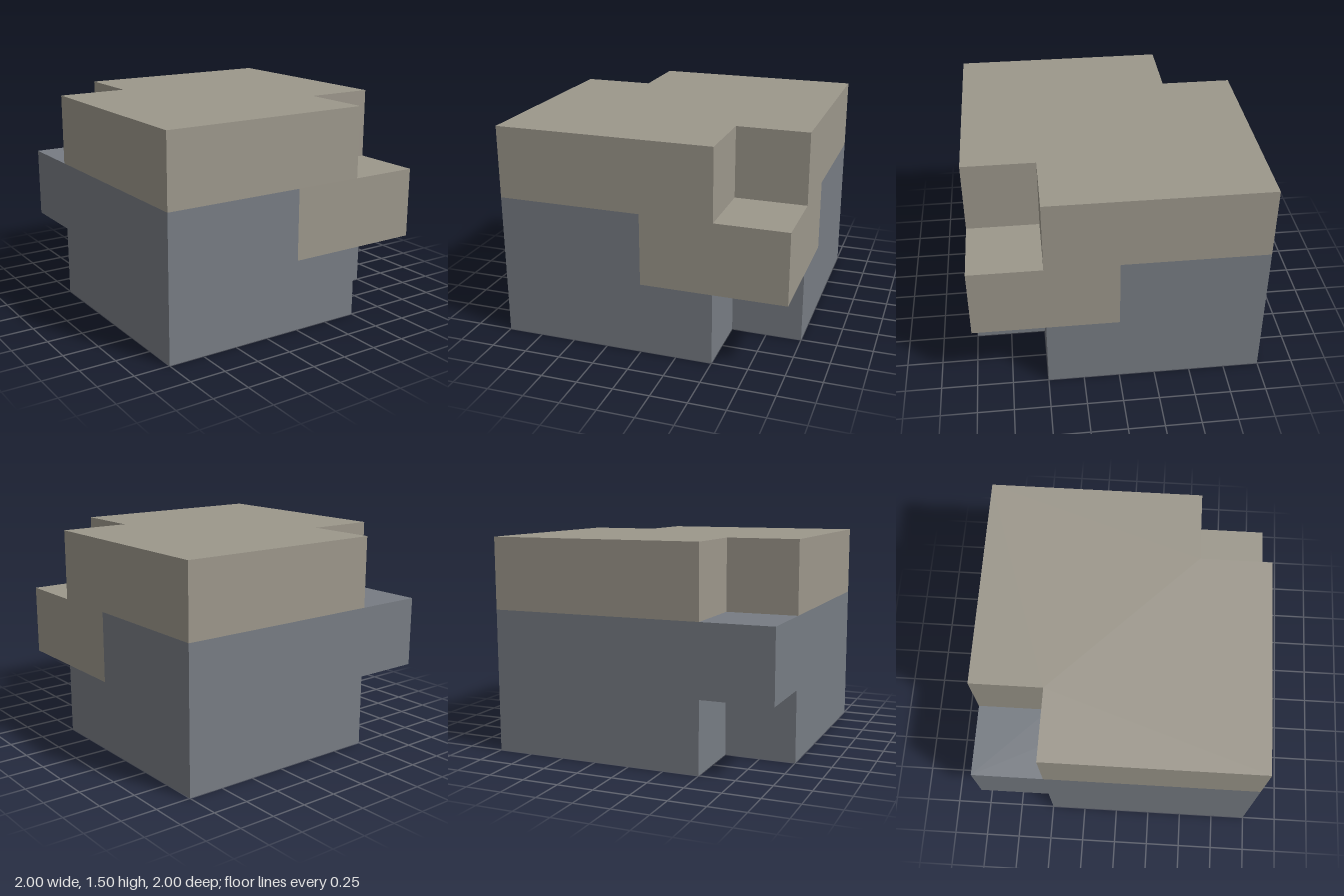
import * as THREE from 'three';

const STEP = 0.5;

// Upright prism, one step high, from a floor plan given as [x, z] corners
function layer(name, plan, level, material) {
  const shape = new THREE.Shape(plan.map(([x, z]) => new THREE.Vector2(x, -z)));
  const geometry = new THREE.ExtrudeGeometry(shape, { depth: STEP, bevelEnabled: false });
  geometry.rotateX(-Math.PI / 2);
  const mesh = new THREE.Mesh(geometry, material);
  mesh.name = name;
  mesh.position.y = level * STEP;
  return mesh;
}

export function createModel() {
  const slate = new THREE.MeshStandardMaterial({ color: 0x777c83 });
  const stone = new THREE.MeshStandardMaterial({ color: 0x9c978b });

  // Square plan with the front-left and back-right corners cut out
  const notched = [
    [-1, 1], [0.5, 1], [0.5, 0.5], [1, 0.5],
    [1, -1], [-0.5, -1], [-0.5, -0.5], [-1, -0.5],
  ];
  // Middle level: an L of the lower block around a quarter of the upper block
  const ell = [[-1, 1], [0, 1], [0, 0], [1, 0], [1, -1], [-1, -1]];
  const quarter = [[0, 1], [1, 1], [1, 0], [0, 0]];

  const lower = new THREE.Group();
  lower.name = 'lowerBlock';
  lower.add(layer('lowerBase', notched, 0, slate), layer('lowerStep', ell, 1, slate));

  const upper = new THREE.Group();
  upper.name = 'upperBlock';
  upper.add(layer('upperKey', quarter, 1, stone), layer('upperCap', notched, 2, stone));

  const model = new THREE.Group();
  model.name = 'interlockingBlocks';
  model.add(lower, upper);
  return model;
}
